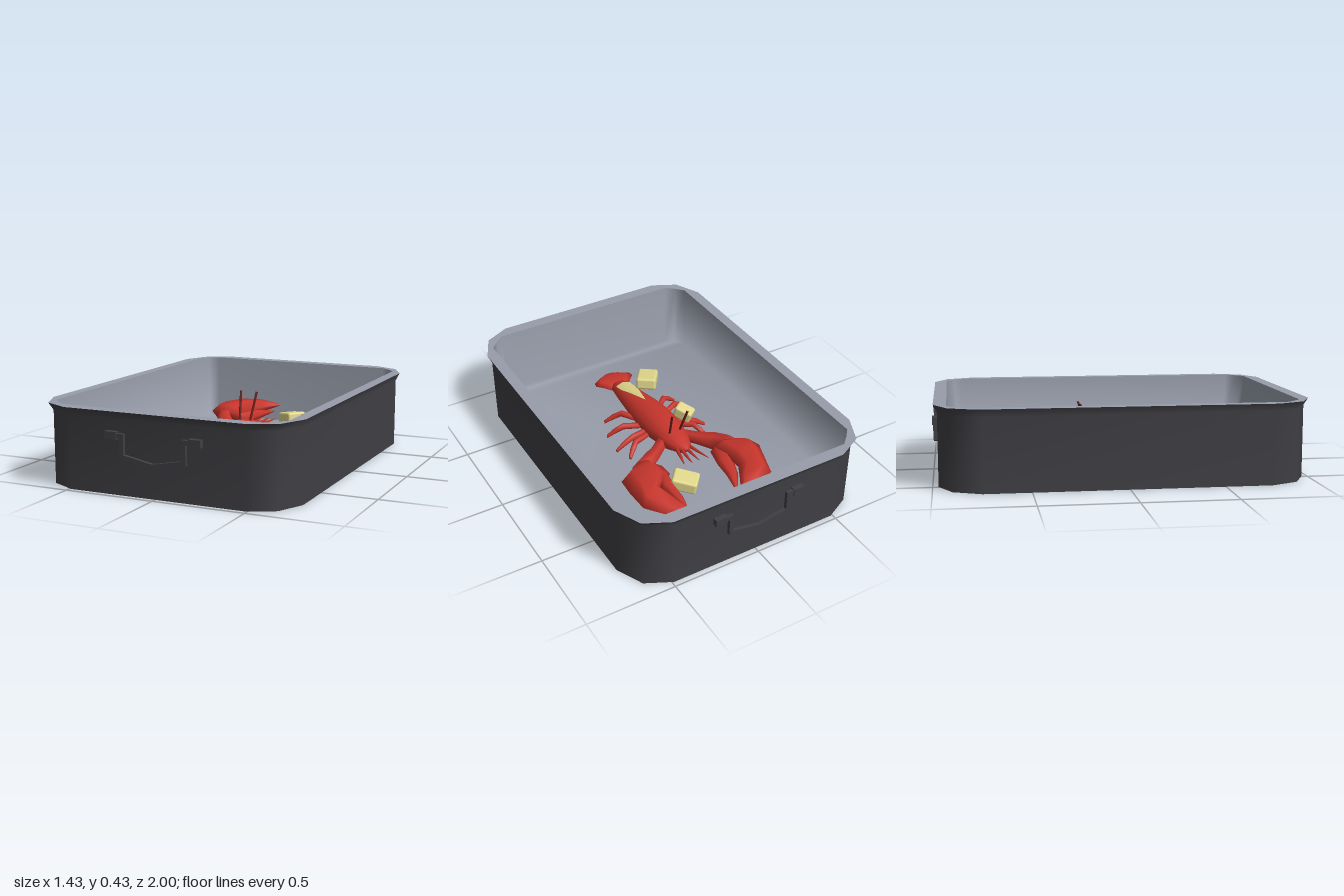
import * as THREE from 'three';
import { RoundedBoxGeometry } from 'three/addons/geometries/RoundedBoxGeometry.js';

const mat = (name, color, side = THREE.FrontSide) => {
  const m = new THREE.MeshStandardMaterial({ color, side });
  m.name = name;
  return m;
};

// Joins successive closed rings of points into one smooth skin.
function skin(rings, extraIndex = []) {
  const n = rings[0].length, index = [...extraIndex];
  for (let r = 0; r < rings.length - 1; r++) {
    for (let i = 0; i < n; i++) {
      const j = (i + 1) % n, a = r * n, b = a + n;
      index.push(a + i, a + j, b + j, a + i, b + j, b + i);
    }
  }
  const g = new THREE.BufferGeometry();
  g.setAttribute('position', new THREE.Float32BufferAttribute(rings.flat(2), 3));
  g.setIndex(index);
  g.computeVertexNormals();
  return g;
}

// Rectangle with cut corners; c lists the corner points as insets.
function outline(w, d, y, c) {
  const pts = [];
  [[1, 1], [1, -1], [-1, -1], [-1, 1]].forEach(([sx, sz], k) => {
    const corner = c.map(([ix, iz]) => [sx * (w - ix), y, sz * (d - iz)]);
    pts.push(...(k % 2 ? corner.reverse() : corner));
  });
  return pts;
}

// Solid with oval sections, each [right x, right z, left x, left z, centre y, half height] seen along its travel.
function loft(sections, sides = 8) {
  const ring = ([x1, z1, x2, z2, y, h], s = 1) => Array.from({ length: sides }, (_, i) => {
    const a = (i / sides) * Math.PI * 2, c = Math.cos(a) * s / 2;
    return [(x1 + x2) / 2 + (x2 - x1) * c, y + Math.sin(a) * h * s, (z1 + z2) / 2 + (z2 - z1) * c];
  });
  return skin([ring(sections[0], 0), ...sections.map((s) => ring(s)), ring(sections.at(-1), 0)]);
}

// Tapering limb through points [x, y, z, radius].
function limb(points, sides = 6) {
  return loft(points.map(([x, y, z, r], i) => {
    const p = points[Math.max(i - 1, 0)], q = points[Math.min(i + 1, points.length - 1)];
    const dx = q[0] - p[0], dz = q[2] - p[2], l = Math.hypot(dx, dz) || 1;
    const ox = (dz / l) * r, oz = (-dx / l) * r;
    return [x - ox, z - oz, x + ox, z + oz, y, r];
  }), sides);
}

export function createModel() {
  const model = new THREE.Group();
  model.name = 'lobsterRoastingPan';
  const dark = mat('darkEnamel', 0x403f44);
  const grey = mat('greyEnamel', 0x979daa);
  const red = mat('lobsterRed', 0xc8362d);
  const maroon = mat('feelerMaroon', 0x6a1d18);
  const yellow = mat('butterYellow', 0xe2d88c, THREE.DoubleSide);
  const add = (name, geo, material, parent = model) => {
    const m = new THREE.Mesh(geo, material);
    m.name = name;
    parent.add(m);
    return m;
  };

  // Pan shell
  const outC = [[0.21, 0], [0.07, 0.07], [0, 0.22]], inC = [[0.09, 0], [0.043, 0.043], [0, 0.09]];
  const base = outline(0.7, 0.97, 0, outC), neck = outline(0.7, 0.97, 0.39, outC);
  const lip = outline(0.717, 0.99, 0.43, outC), mouth = outline(0.655, 0.922, 0.43, inC);
  const floor = outline(0.635, 0.895, 0.055, inC);
  add('panOutside', skin([base, neck, lip]), dark);
  add('panBottom', skin([base.map(() => [0, 0, 0]), base]), dark);
  add('panRim', skin([lip, mouth]), grey);

  // Inside wall runs into a floor bridged from side to side
  const bridge = [], n = floor.length;
  for (let i = 0; i < n / 2 - 1; i++) {
    const a = n + i, d = 2 * n - 1 - i;
    bridge.push(a, a + 1, d - 1, a, d - 1, d);
  }
  add('panInside', skin([mouth, floor], bridge), grey);

  // Handles at both ends
  const bar = [[-0.21, 0.31], [-0.173, 0.31], [-0.173, 0.205], [0, 0.172], [0.173, 0.205], [0.173, 0.31], [0.21, 0.31]];
  for (const s of [1, -1]) {
    const handle = new THREE.Group();
    handle.name = s > 0 ? 'frontHandle' : 'backHandle';
    handle.rotation.y = s > 0 ? 0 : Math.PI;
    for (const x of [-0.234, 0.234]) {
      add('handleMount', new THREE.BoxGeometry(0.066, 0.04, 0.035), dark, handle).position.set(x, 0.31, 0.9825);
    }
    for (let i = 0; i < bar.length - 1; i++) {
      const [x0, y0] = bar[i], [x1, y1] = bar[i + 1];
      const m = add('handleBar', new THREE.BoxGeometry(Math.hypot(x1 - x0, y1 - y0) + 0.018, 0.024, 0.02), dark, handle);
      m.position.set((x0 + x1) / 2, (y0 + y1) / 2, 0.986);
      m.rotation.z = Math.atan2(y1 - y0, x1 - x0);
    }
    model.add(handle);
  }

  // Lobster body: [z, half width, centre y, half height]
  const lobster = new THREE.Group();
  lobster.name = 'lobster';
  model.add(lobster);
  const bx = -0.012;
  const body = [[-0.27, 0.012, 0.16, 0.012], [-0.23, 0.048, 0.15, 0.035], [-0.15, 0.08, 0.145, 0.06], [0, 0.102, 0.14, 0.08],
    [0.12, 0.102, 0.135, 0.078], [0.22, 0.095, 0.13, 0.07], [0.34, 0.078, 0.12, 0.06], [0.45, 0.063, 0.11, 0.05], [0.54, 0.052, 0.105, 0.03]];
  add('body', loft(body.map(([z, w, y, h]) => [bx - w, z, bx + w, z, y, h]), 12), red, lobster);
  const fan = [[0.51, 0.048, 0.026], [0.565, 0.1, 0.026], [0.59, 0.125, 0.024], [0.62, 0.12, 0.02], [0.65, 0.075, 0.014], [0.67, 0.025, 0.008]];
  add('tailFan', loft(fan.map(([z, w, h]) => [bx - w, z, bx + w, z, 0.105, h])), red, lobster);

  // Butter panel lying on the tail: [z, left x, right x, y of middle, y of edges]
  const panel = [[0.2, -0.012, -0.012, 0.209, 0.209], [0.34, -0.045, 0.018, 0.187, 0.181], [0.42, -0.058, 0.032, 0.172, 0.157],
    [0.485, -0.06, 0.032, 0.16, 0.143]];
  const pos = [], idx = [];
  panel.forEach(([z, l, r, ym, ye], i) => {
    pos.push(l, ye, z, (l + r) / 2, ym, z, r, ye, z);
    if (i) for (const k of [0, 1]) {
      const a = i * 3 - 3 + k, b = a + 3;
      idx.push(a, b, a + 1, a + 1, b, b + 1);
    }
  });
  const sheet = new THREE.BufferGeometry();
  sheet.setAttribute('position', new THREE.Float32BufferAttribute(pos, 3));
  sheet.setIndex(idx);
  sheet.computeVertexNormals();
  add('tailButter', sheet, yellow, lobster);

  // Claws and arms
  add('leftArm', limb([[0.05, 0.13, -0.1, 0.035], [0.13, 0.13, -0.165, 0.036], [0.19, 0.14, -0.21, 0.045], [0.3, 0.15, -0.28, 0.045]]), red, lobster);
  add('leftClaw', loft([[0.3, -0.235, 0.21, -0.27, 0.15, 0.04], [0.43, -0.315, 0.175, -0.305, 0.15, 0.06], [0.437, -0.42, 0.17, -0.39, 0.15, 0.065],
    [0.435, -0.56, 0.275, -0.46, 0.155, 0.055], [0.36, -0.67, 0.25, -0.59, 0.16, 0.038], [0.235, -0.732, 0.225, -0.725, 0.16, 0.005]], 6), red, lobster);
  add('leftThumb', loft([[0.27, -0.4, 0.18, -0.37, 0.15, 0.04], [0.272, -0.48, 0.2, -0.49, 0.15, 0.038],
    [0.26, -0.58, 0.205, -0.58, 0.15, 0.028], [0.24, -0.69, 0.232, -0.69, 0.15, 0.004]], 6), red, lobster);
  add('rightArm', limb([[-0.06, 0.13, -0.08, 0.03], [-0.14, 0.13, -0.175, 0.037], [-0.195, 0.14, -0.25, 0.05], [-0.235, 0.16, -0.32, 0.045], [-0.24, 0.17, -0.39, 0.05]]), red, lobster);
  add('rightClaw', loft([[-0.19, -0.33, -0.28, -0.35, 0.17, 0.035], [-0.125, -0.34, -0.375, -0.44, 0.17, 0.06], [-0.165, -0.46, -0.355, -0.5, 0.17, 0.065],
    [-0.17, -0.54, -0.295, -0.675, 0.175, 0.055], [-0.12, -0.63, -0.17, -0.745, 0.18, 0.038], [-0.05, -0.752, -0.055, -0.758, 0.18, 0.005]], 6), red, lobster);
  add('rightThumb', loft([[-0.12, -0.335, -0.2, -0.38, 0.15, 0.038], [-0.095, -0.45, -0.18, -0.49, 0.15, 0.038],
    [-0.088, -0.55, -0.15, -0.57, 0.15, 0.028], [-0.062, -0.69, -0.07, -0.69, 0.15, 0.004]], 6), red, lobster);

  // Walking legs: [root x, root z, knee x, knee z, tip x, tip z]
  const legs = [[0.06, 0.03, 0.18, -0.02, 0.245, -0.075], [0.06, 0.06, 0.17, 0.03, 0.28, 0.02], [0.06, 0.11, 0.17, 0.145, 0.265, 0.165],
    [0.05, 0.17, 0.12, 0.26, 0.215, 0.295], [-0.08, 0.04, -0.19, -0.04, -0.235, -0.135], [-0.08, 0.06, -0.19, 0.01, -0.285, -0.015],
    [-0.08, 0.13, -0.2, 0.185, -0.285, 0.175], [-0.07, 0.18, -0.17, 0.265, -0.25, 0.28]];
  for (const [rx, rz, kx, kz, tx, tz] of legs) {
    add('leg', limb([[rx, 0.11, rz, 0.017], [kx, 0.12, kz, 0.018], [(kx + tx) / 2, 0.1, (kz + tz) / 2, 0.016], [tx, 0.07, tz, 0.01]]), red, lobster);
  }

  // Head spikes and upright feelers
  for (const [x0, x1, z1] of [[-0.04, -0.07, -0.395], [-0.02, -0.015, -0.39], [0.005, 0.03, -0.39], [0.025, 0.075, -0.38]]) {
    add('headSpike', limb([[x0, 0.15, -0.2, 0.012], [(x0 + x1) / 2, 0.16, -0.3, 0.009], [x1, 0.17, z1, 0.002]], 5), red, lobster);
  }
  for (const s of [-1, 1]) {
    const path = new THREE.LineCurve3(new THREE.Vector3(bx + s * 0.03, 0.17, -0.12), new THREE.Vector3(bx + s * 0.05, 0.36, -0.185));
    add('feeler', new THREE.TubeGeometry(path, 1, 0.007, 5), maroon, lobster);
  }

  // Butter lumps: [x, y, z, width, depth, turn, tilt]
  for (const [x, y, z, w, d, turn, tilt] of [[0.137, 0.16, -0.49, 0.142, 0.117, -0.71, 0.15],
    [-0.163, 0.18, 0.018, 0.105, 0.08, -0.92, 0.3], [-0.163, 0.15, 0.45, 0.154, 0.118, 0.95, 0.15]]) {
    const m = add('butterLump', new RoundedBoxGeometry(w, 0.07, d, 2, 0.014), yellow);
    m.position.set(x, y, z);
    m.rotation.set(0, turn, tilt);
    m.rotation.order = 'YXZ';
  }
  return model;
}
